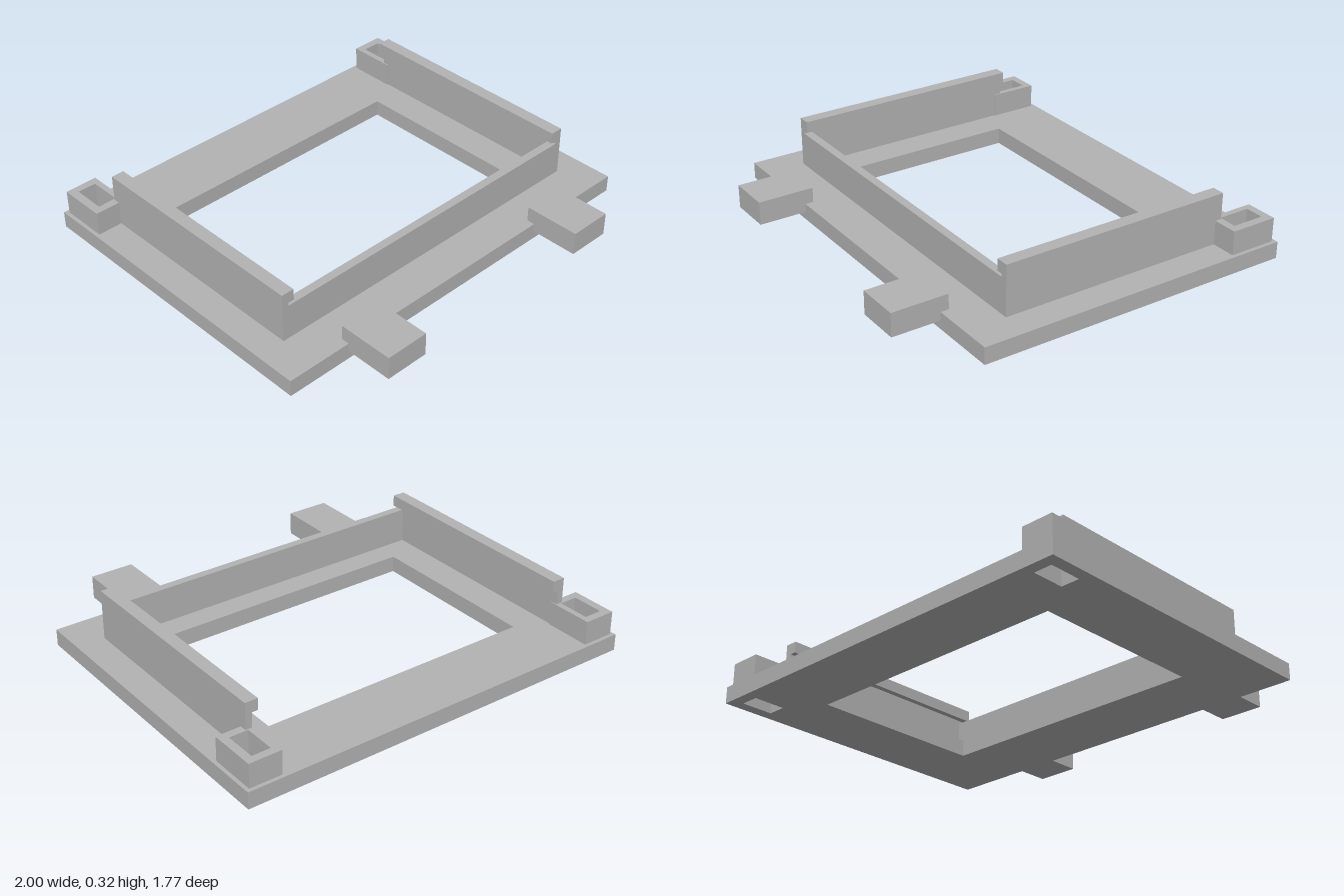
import * as THREE from 'three';

export function createModel() {
  const group = new THREE.Group();
  const grey = new THREE.MeshStandardMaterial({ color: 0xb3b3b3 });
  grey.name = 'grey';

  const add = (name, geometry) => {
    const mesh = new THREE.Mesh(geometry, grey);
    mesh.name = name;
    group.add(mesh);
  };

  // Corner points of a rectangle; shape y is -z so the extrusion rises along +y
  const rect = (x0, x1, z0, z1) => [
    new THREE.Vector2(x0, -z1), new THREE.Vector2(x1, -z1),
    new THREE.Vector2(x1, -z0), new THREE.Vector2(x0, -z0),
  ];
  const slab = (outline, holes, y0, y1) => {
    const shape = new THREE.Shape(rect(...outline));
    for (const h of holes) shape.holes.push(new THREE.Path(rect(...h)));
    return new THREE.ExtrudeGeometry(shape, { depth: y1 - y0, bevelEnabled: false })
      .rotateX(-Math.PI / 2).translate(0, y0, 0);
  };
  const box = (x0, x1, y0, y1, z0, z1) =>
    new THREE.BoxGeometry(x1 - x0, y1 - y0, z1 - z0)
      .translate((x0 + x1) / 2, (y0 + y1) / 2, (z0 + z1) / 2);

  // Range mirrored to the chosen side, kept in ascending order
  const side = (s, a, b) => (s > 0 ? [a, b] : [-b, -a]);
  const socketHole = s => [...side(s, 0.853, 0.943), -0.83, -0.675];

  // Base plate with its window and the two socket holes
  add('basePlate', slab([-1, 1, -0.885, 0.655],
    [[-0.677, 0.677, -0.56, 0.303], socketHole(1), socketHole(-1)], 0, 0.08));

  // Low wall along the front
  add('frontWall', box(-0.83, 0.83, 0.08, 0.25, 0.42, 0.46));

  for (const s of [1, -1]) {
    const label = s > 0 ? 'left' : 'right';

    // Side rail: upright with an inward lip, one L-shaped section
    const section = new THREE.Shape([
      [0.83, 0.08], [0.862, 0.08], [0.862, 0.32],
      [0.8, 0.32], [0.8, 0.265], [0.83, 0.265],
    ].map(([x, y]) => new THREE.Vector2(s * x, y)));
    add(label + 'Rail', new THREE.ExtrudeGeometry(section, { depth: 1.13, bevelEnabled: false })
      .translate(0, 0, -0.67));

    // Hollow socket at the back corner
    add(label + 'Socket', slab([...side(s, 0.825, 0.982), -0.867, -0.638],
      [socketHole(s)], 0.08, 0.195));

    // Front tab
    add(label + 'Tab', box(...side(s, 0.47, 0.682), 0.04, 0.152, 0.615, 0.885));
  }
  return group;
}
